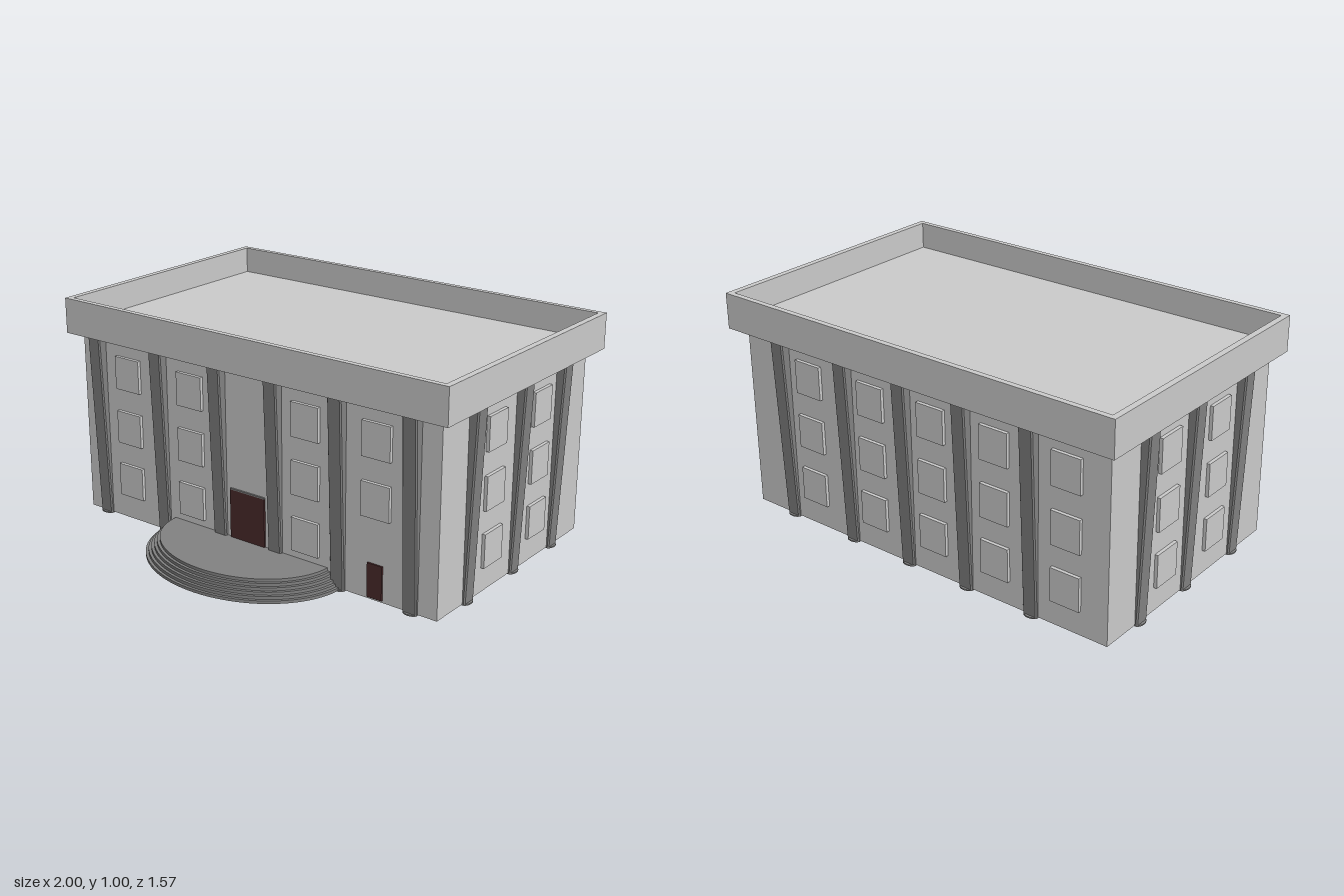
import * as THREE from 'three';

const wallMat = new THREE.MeshStandardMaterial({ name: 'pale stone', color: 0xcccccc });
const trimMat = new THREE.MeshStandardMaterial({ name: 'dark stone', color: 0x828282 });
const doorMat = new THREE.MeshStandardMaterial({ name: 'door red', color: 0x4a2a2b });

function add(parent, name, geometry, material, x = 0, y = 0, z = 0) {
  const mesh = new THREE.Mesh(geometry, material);
  mesh.name = name;
  mesh.position.set(x, y, z);
  parent.add(mesh);
  return mesh;
}

// Box given by its lower and upper limits
function block(parent, name, material, [x0, x1], [y0, y1], [z0, z1]) {
  return add(parent, name, new THREE.BoxGeometry(x1 - x0, y1 - y0, z1 - z0), material,
    (x0 + x1) / 2, (y0 + y1) / 2, (z0 + z1) / 2);
}

// Pilaster whose front leans outward toward the roof, with bevelled sides
function pilasterGeometry() {
  const g = new THREE.CylinderGeometry(1, 1, 0.838, 8, 1).toNonIndexed();
  g.rotateY(Math.PI / 8);
  const p = g.attributes.position;
  const edge = Math.cos(Math.PI / 8);
  for (let i = 0; i < p.count; i++) {
    const top = p.getY(i) > 0;
    const side = p.getX(i) / edge, out = p.getZ(i) / edge;
    const outer = out > 0.9;
    const x = Math.abs(side) > 0.9 ? 0.034 : 0.029;
    const front = top ? 0.042 : 0.011;
    const z = outer ? front : out > 0 ? front - 0.006 : -0.018;
    p.setXYZ(i, Math.sign(side) * x, p.getY(i), z);
  }
  g.computeVertexNormals();
  return g;
}

export function createModel() {
  const model = new THREE.Group();
  model.name = 'building';

  block(model, 'walls', wallMat, [-0.95, 0.945], [0.005, 0.85], [-0.725, 0.4]);

  // Flat roof with a raised rim
  const roof = new THREE.Group();
  roof.name = 'roof';
  model.add(roof);
  const rect = (path, x0, x1, y0, y1) =>
    path.moveTo(x0, y0).lineTo(x1, y0).lineTo(x1, y1).lineTo(x0, y1).closePath();
  const rim = new THREE.Shape();
  rect(rim, -1, 1, -0.455, 0.785);
  const opening = new THREE.Path();
  rect(opening, -0.972, 0.972, -0.43, 0.76);
  rim.holes.push(opening);
  const rimGeo = new THREE.ExtrudeGeometry(rim, { depth: 0.16, bevelEnabled: false });
  rimGeo.rotateX(-Math.PI / 2);
  add(roof, 'parapet', rimGeo, wallMat, 0, 0.84, 0);
  block(roof, 'roofDeck', wallMat, [-0.972, 0.972], [0.84, 0.88], [-0.76, 0.43]);

  // Each facade is laid out along its own x axis, facing its own z axis
  const facades = [
    { name: 'front', at: [0, 0, 0.4], turn: 0,
      columns: [-0.85, -0.49, -0.16, 0.14, 0.465, 0.82], windows: [-0.68, -0.32, 0.3, 0.65] },
    { name: 'back', at: [0, 0, -0.725], turn: Math.PI,
      columns: [-0.735, -0.375, -0.055, 0.255, 0.585],
      windows: [-0.585, -0.235, 0.09, 0.41, 0.755] },
    { name: 'left', at: [0.945, 0, 0], turn: Math.PI / 2,
      columns: [-0.18, 0.18, 0.505], windows: [-0.012, 0.345] },
    { name: 'right', at: [-0.95, 0, 0], turn: -Math.PI / 2,
      columns: [0.18, -0.18, -0.505], windows: [0.012, -0.345] },
  ];
  const pilaster = pilasterGeometry();
  const foot = new THREE.CylinderGeometry(0.034, 0.034, 0.006, 20).scale(1, 1, 0.65);
  const pane = new THREE.BoxGeometry(0.138, 0.15, 0.03);
  for (const f of facades) {
    const side = new THREE.Group();
    side.name = f.name + 'Facade';
    side.position.set(...f.at);
    side.rotation.y = f.turn;
    model.add(side);
    for (const x of f.columns) {
      add(side, 'pilaster', pilaster, trimMat, x, 0.422, 0);
      add(side, 'pilasterFoot', foot, trimMat, x, 0.003, 0);
    }
    for (const x of f.windows) {
      for (const y of [0.19, 0.441, 0.694]) {
        // The side door takes the place of one ground floor window
        if (f.name === 'front' && x === 0.65 && y < 0.2) continue;
        add(side, 'window', pane, wallMat, x, y, 0);
      }
    }
  }

  // Doors
  block(model, 'mainDoor', doorMat, [-0.103, 0.083], [0.075, 0.3], [0.399, 0.408]);
  block(model, 'doorLintel', trimMat, [-0.103, 0.083], [0.3, 0.306], [0.399, 0.408]);
  block(model, 'sideDoor', doorMat, [0.612, 0.685], [0.015, 0.166], [0.399, 0.408]);

  // Half-oval entrance steps
  const steps = new THREE.Group();
  steps.name = 'entranceSteps';
  model.add(steps);
  const count = 6, rise = 0.08 / count;
  for (let i = 0; i < count; i++) {
    const step = new THREE.CylinderGeometry(1, 1, rise, 48, 1, false, -Math.PI / 2, Math.PI);
    step.scale(0.485 - i * 0.013, 1, 0.39 - i * 0.012);
    add(steps, 'step', step, trimMat, -0.01, (i + 0.5) * rise, 0.395);
  }
  return model;
}
